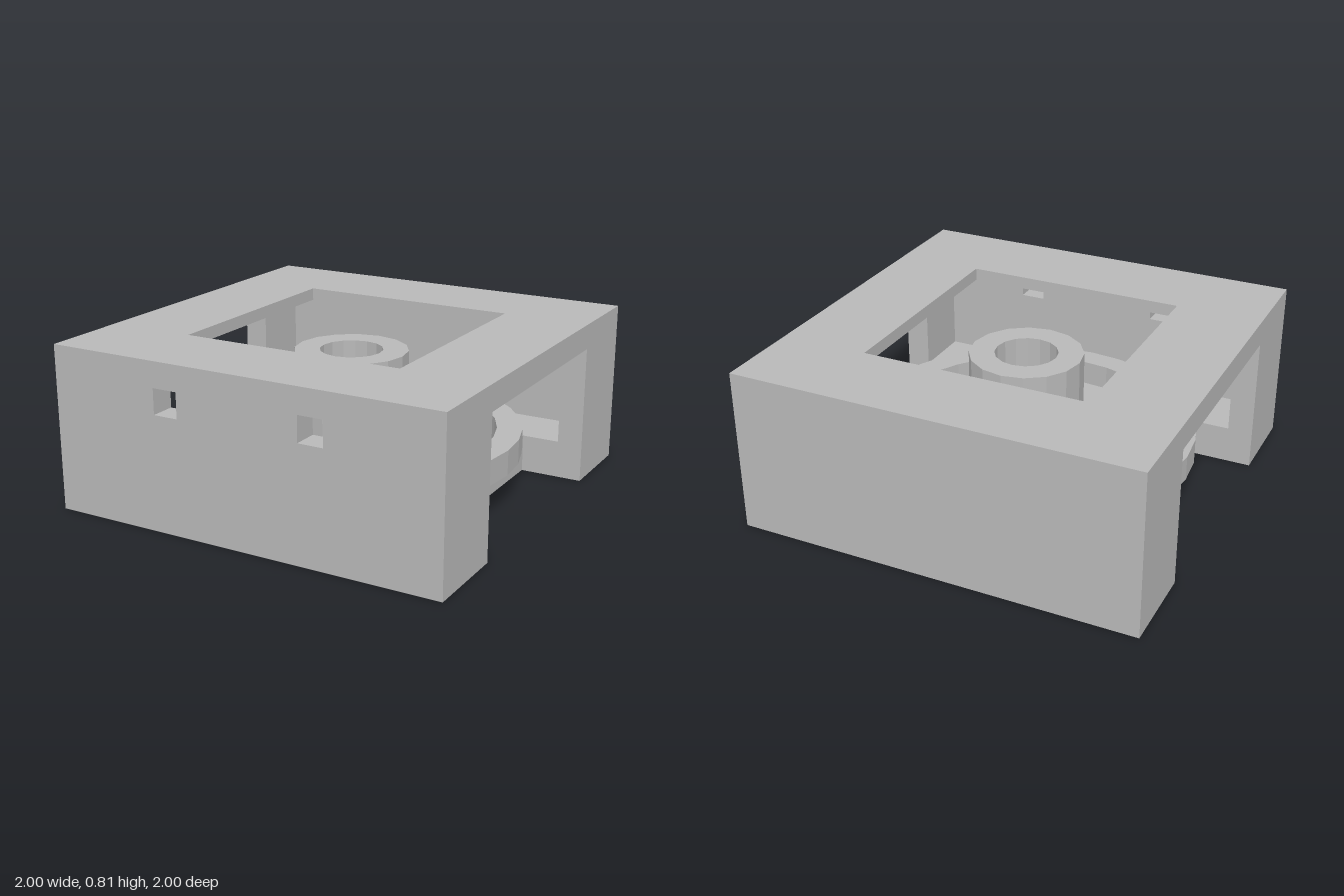
import * as THREE from 'three';

const U = 1 / 16; // all sizes below are in sixteenths

const toPoints = (list) => list.map(([a, b]) => new THREE.Vector2(a * U, b * U));
const rect = (x0, y0, x1, y1) => [[x0, y0], [x1, y0], [x1, y1], [x0, y1]];
const polygon = (radius, sides) => Array.from({ length: sides }, (_, i) => {
  const a = (i / sides) * Math.PI * 2;
  return [radius * Math.cos(a), radius * Math.sin(a)];
});

// Extrudes an outline with holes along +z
function plate(outline, holes, depth) {
  const shape = new THREE.Shape(toPoints(outline));
  holes.forEach((h) => shape.holes.push(new THREE.Path(toPoints(h))));
  return new THREE.ExtrudeGeometry(shape, { depth: depth * U, bevelEnabled: false });
}

// Lays a plate flat between two heights
function slab(outline, holes, y0, y1) {
  return plate(outline, holes, y1 - y0).rotateX(-Math.PI / 2).translate(0, y0 * U, 0);
}

export function createModel() {
  const group = new THREE.Group();
  const grey = new THREE.MeshStandardMaterial({ color: 0xb8b8b8 });
  grey.name = 'grey';
  const add = (name, geometry) => {
    const mesh = new THREE.Mesh(geometry, grey);
    mesh.name = name;
    group.add(mesh);
  };

  // Floor with a notch in each side and a square centre hole
  const floor = [
    [-16, -16], [16, -16], [16, -9], [11, -9], [11, 9], [16, 9],
    [16, 16], [-16, 16], [-16, 9], [-11, 9], [-11, -9], [-16, -9],
  ];
  add('floor', slab(floor, [rect(-6, -6, 6, 6)], 0, 3));

  // Roof with a larger square opening
  add('roof', slab(rect(-16, -16, 16, 16), [rect(-9, -9, 9, 9)], 12, 13));

  // Front wall has two small square holes, back wall is plain
  const wall = rect(-16, 3, 16, 12);
  add('frontWall', plate(wall, [rect(-7, 9, -5, 11), rect(5, 9, 7, 11)], 2).translate(0, 0, 14 * U));
  add('backWall', plate(wall, [], 2).translate(0, 0, -16 * U));

  // Side walls are arches around a wide opening
  const arch = [[-14, 3], [-9, 3], [-9, 11], [9, 11], [9, 3], [14, 3], [14, 12], [-14, 12]];
  for (const [name, x] of [['leftWall', 14], ['rightWall', -16]]) {
    add(name, plate(arch, [], 2).rotateY(Math.PI / 2).translate(x * U, 0, 0));
  }

  // Flat ring resting on the floor, and the tube standing in its centre
  add('ring', slab(polygon(13.5, 32), [polygon(11.5, 32)], 3, 5));
  add('hub', slab(polygon(4.5, 16), [polygon(2.5, 16)], 1, 11));

  return group;
}
